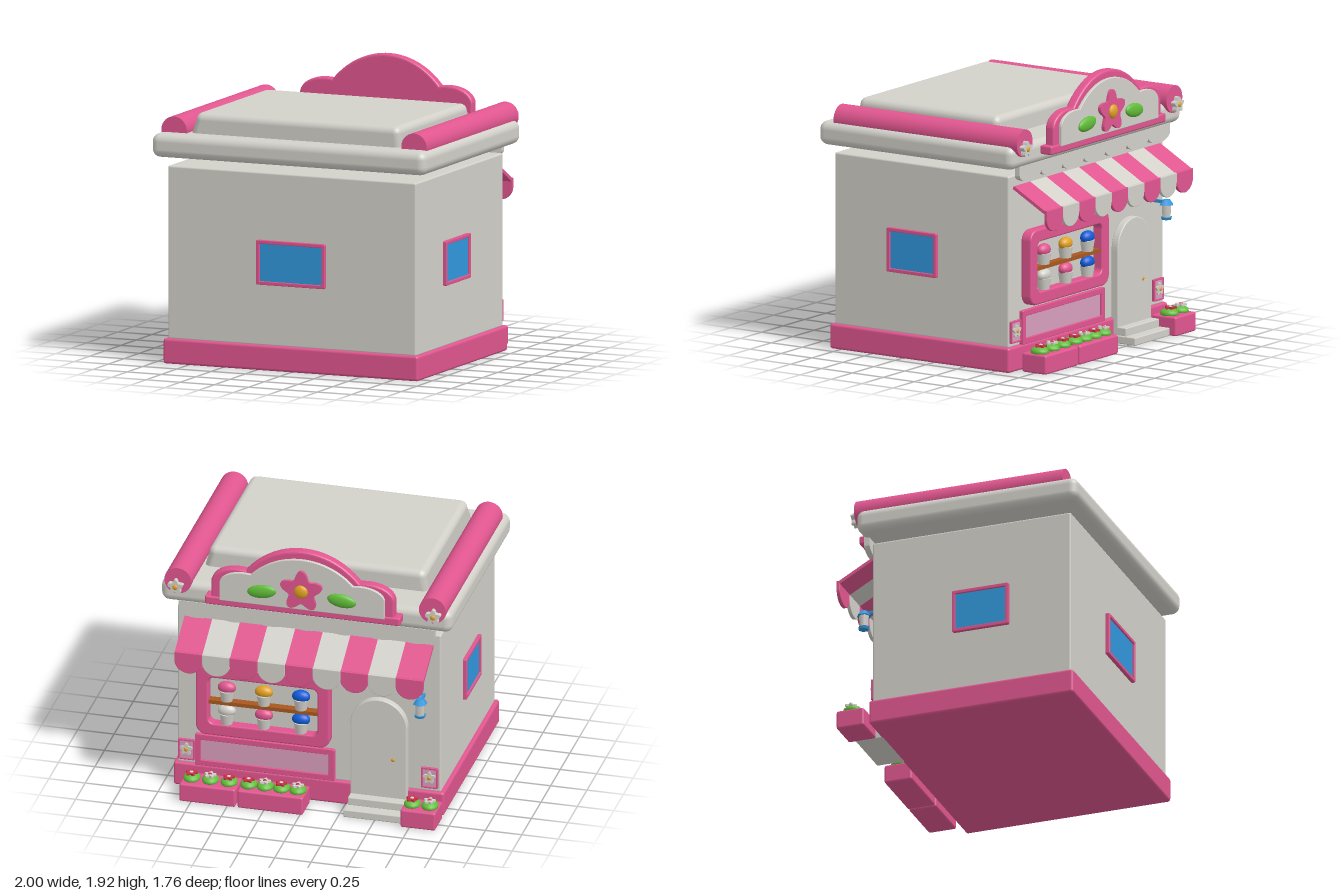
import * as THREE from 'three';
import { RoundedBoxGeometry } from 'three/addons/geometries/RoundedBoxGeometry.js';

const mat = (name, color) => new THREE.MeshStandardMaterial({ name, color });
const M = {
  grey: mat('warm grey', 0xd2d0c9), pink: mat('pink', 0xe0568f), mauve: mat('mauve', 0xd79dbc),
  sky: mat('sky blue', 0x3197dc), blue: mat('door blue', 0x0f5cd8), green: mat('leaf green', 0x62bd3a),
  gold: mat('gold', 0xe0a122), wood: mat('wood', 0xa8581f), red: mat('red', 0xcc2f4a),
};

function add(parent, name, geo, m, x = 0, y = 0, z = 0) {
  const mesh = new THREE.Mesh(geo, m);
  mesh.name = name;
  mesh.position.set(x, y, z);
  parent.add(mesh);
  return mesh;
}
// Rounded block given by its limits
function block(parent, name, m, [x0, x1], [y0, y1], [z0, z1], r = 0.012) {
  const geo = new RoundedBoxGeometry(x1 - x0, y1 - y0, z1 - z0, 3, r);
  return add(parent, name, geo, m, (x0 + x1) / 2, (y0 + y1) / 2, (z0 + z1) / 2);
}
// Extrusion with total depth d, starting at z = 0
function slab(shape, d, bevel = 0) {
  const geo = new THREE.ExtrudeGeometry(shape, {
    depth: d - 2 * bevel, curveSegments: 16, bevelEnabled: bevel > 0,
    bevelSize: bevel, bevelThickness: bevel, bevelOffset: -bevel, bevelSegments: 3,
  });
  return geo.translate(0, 0, bevel);
}
function roundRect(w, h, r, target = new THREE.Shape()) {
  const a = w / 2, b = h / 2;
  target.moveTo(-a + r, -b);
  target.absarc(a - r, -b + r, r, -Math.PI / 2, 0);
  target.absarc(a - r, b - r, r, 0, Math.PI / 2);
  target.absarc(-a + r, b - r, r, Math.PI / 2, Math.PI);
  target.absarc(-a + r, -b + r, r, Math.PI, Math.PI * 1.5);
  return target;
}
function rectFrame(w, h, border, r, ri, d, bevel) {
  const s = roundRect(w, h, r);
  s.holes.push(roundRect(w - 2 * border, h - 2 * border, ri, new THREE.Path()));
  return slab(s, d, bevel);
}
// Arched opening: half width a, springing height s above the base
function arch(a, s, target = new THREE.Shape()) {
  target.moveTo(-a, 0);
  target.lineTo(a, 0);
  target.lineTo(a, s);
  target.absarc(0, s, a, 0, Math.PI);
  target.lineTo(-a, 0);
  return target;
}
// Panel with a rounded lower edge
function scallop(w, straight, drop) {
  const s = new THREE.Shape();
  s.moveTo(-w / 2, 0);
  s.lineTo(-w / 2, -straight);
  s.absellipse(0, -straight, w / 2, drop, Math.PI, 2 * Math.PI);
  s.lineTo(w / 2, 0);
  return s;
}
// Five-petal flower facing +z
function flower(parent, name, r, petals, centre, x, y, z, d = 0.02) {
  const g = new THREE.Group();
  g.name = name;
  g.position.set(x, y, z);
  const pts = [];
  for (let i = 0; i < 60; i++) {
    const t = (i / 60) * Math.PI * 2;
    const k = r * (0.8 + 0.2 * Math.cos(5 * (t - Math.PI / 2)));
    pts.push(new THREE.Vector2(k * Math.cos(t), k * Math.sin(t)));
  }
  add(g, 'petals', slab(new THREE.Shape(pts), d), petals);
  const c = add(g, 'flowerCentre', new THREE.SphereGeometry(r * 0.32, 14, 8), centre, 0, 0, d);
  c.scale.z = 0.5;
  parent.add(g);
  return g;
}
// Stepped arch outline of the sign
function signShape(kx, ky) {
  const s = new THREE.Shape(), X = (v) => v * kx, Y = (v) => v * ky;
  s.moveTo(X(-0.63), 0);
  s.lineTo(X(0.63), 0);
  s.lineTo(X(0.63), Y(0.17));
  s.bezierCurveTo(X(0.62), Y(0.24), X(0.52), Y(0.29), X(0.39), Y(0.27));
  s.bezierCurveTo(X(0.28), Y(0.4), X(0.14), Y(0.46), 0, Y(0.46));
  s.bezierCurveTo(X(-0.14), Y(0.46), X(-0.28), Y(0.4), X(-0.39), Y(0.27));
  s.bezierCurveTo(X(-0.52), Y(0.29), X(-0.62), Y(0.24), X(-0.63), Y(0.17));
  s.lineTo(X(-0.63), 0);
  return s;
}
function plainWindow(parent, w, h, x, y, z, turn) {
  const g = new THREE.Group();
  g.name = 'plainWindow';
  g.position.set(x, y, z);
  g.rotation.y = turn;
  add(g, 'windowFrame', rectFrame(w, h, 0.024, 0.01, 0.004, 0.028, 0.004), M.pink);
  add(g, 'windowGlass', new THREE.BoxGeometry(w - 0.04, h - 0.04, 0.008), M.sky, 0, 0, 0.012);
  parent.add(g);
}

export function createModel() {
  const model = new THREE.Group();
  model.name = 'flowerShop';

  // Building shell
  block(model, 'base', M.pink, [-0.93, 0.93], [0, 0.17], [-0.62, 0.83], 0.018);
  block(model, 'walls', M.grey, [-0.905, 0.905], [0.165, 1.33], [-0.6, 0.805], 0.012);
  block(model, 'roofSlab', M.grey, [-1, 1], [1.39, 1.55], [-0.69, 0.88], 0.055);
  const cap = block(model, 'roofCap', M.grey, [-0.77, 0.77], [1.5, 1.685], [-0.42, 0.745], 0.05);
  const p = cap.geometry.attributes.position;
  for (let i = 0; i < p.count; i++) {
    const k = p.getY(i) > 0 ? 0.97 : 1;
    p.setX(i, p.getX(i) * k);
    p.setZ(i, p.getZ(i) * k);
  }
  for (const s of [-1, 1]) {
    const roll = add(model, 'roofRoll', new THREE.CylinderGeometry(0.093, 0.093, 1.48, 28), M.pink, s * 0.875, 1.565, 0.03);
    roll.rotation.x = Math.PI / 2;
    plainWindow(model, 0.4, 0.3, s * 0.902, 0.727, 0.17, s * Math.PI / 2);
  }
  plainWindow(model, 0.5, 0.3, 0, 0.727, 0.805, 0);

  // Shop side, built facing +z and turned round
  const shop = new THREE.Group();
  shop.name = 'shopSide';
  shop.rotation.y = Math.PI;
  model.add(shop);

  // Scalloped trim under the roof
  for (let i = -3; i <= 3; i++)
    add(shop, 'roofTrim', slab(scallop(0.251, 0.06, 0.055), 0.04), M.grey, i * 0.251, 1.4, 0.632);

  // Striped awning
  for (let i = -4; i <= 4; i++) {
    const m = i % 2 ? M.grey : M.pink;
    const top = add(shop, 'awningStripe', new THREE.BoxGeometry(0.19, 0.022, 0.29), m, i * 0.19, 1.178, 0.73);
    top.rotation.x = 0.51;
    add(shop, 'awningScallop', slab(scallop(0.19, 0.06, 0.09), 0.024, 0.004), m, i * 0.19, 1.12, 0.852);
  }

  // Sign with flower and leaves
  add(shop, 'signBoard', slab(signShape(1, 1), 0.07, 0.015), M.pink, 0, 1.46, 0.705);
  add(shop, 'signPanel', slab(signShape(0.9, 0.8), 0.025, 0.005), M.grey, 0, 1.5, 0.77);
  block(shop, 'signLedge', M.pink, [-0.67, 0.67], [1.455, 1.515], [0.69, 0.785], 0.012);
  flower(shop, 'signFlower', 0.15, M.pink, M.gold, 0, 1.645, 0.793, 0.025);
  for (const s of [-1, 1]) {
    const leaf = add(shop, 'signLeaf', new THREE.SphereGeometry(1, 20, 12), M.green, s * 0.275, 1.605, 0.8);
    leaf.scale.set(0.1, 0.048, 0.025);
    leaf.rotation.z = s * -0.12;
    flower(shop, 'rollFlower', 0.055, M.grey, M.gold, s * 0.885, 1.53, 0.71, 0.035);
  }

  // Display window with shelf and treats
  const display = new THREE.Group();
  display.name = 'displayWindow';
  display.position.set(-0.3, 0.685, 0.6);
  shop.add(display);
  add(display, 'displayFrame', rectFrame(0.92, 0.51, 0.085, 0.07, 0.04, 0.08, 0.012), M.pink);
  add(display, 'displayBack', new THREE.BoxGeometry(0.8, 0.38, 0.008), M.grey, 0, 0, 0.004);
  add(display, 'shelf', new THREE.BoxGeometry(0.76, 0.026, 0.06), M.wood, 0, -0.015, 0.036);
  const tops = [[M.pink, M.gold, M.blue], [M.grey, M.pink, M.blue]];
  tops.forEach((row, r) => row.forEach((m, i) => {
    const x = (i - 1) * 0.255, y = r ? -0.17 : 0.0;
    add(display, 'treatCup', new THREE.CylinderGeometry(0.05, 0.038, 0.075, 18), M.grey, x, y + 0.037, 0.042);
    const dome = add(display, 'treatTop', new THREE.SphereGeometry(0.062, 20, 12), m, x, y + 0.095, 0.042);
    dome.scale.set(1, 0.7, 0.65);
  }));

  // Panel below the display
  add(shop, 'lowerPanelFrame', rectFrame(0.96, 0.23, 0.04, 0.01, 0.005, 0.03, 0.004), M.pink, -0.3, 0.285, 0.6);
  add(shop, 'lowerPanel', new THREE.BoxGeometry(0.9, 0.17, 0.008), M.mauve, -0.3, 0.285, 0.612);

  // Small flower tiles on the wall
  for (const x of [-0.84, 0.83]) {
    add(shop, 'tileFrame', rectFrame(0.115, 0.15, 0.012, 0.008, 0.004, 0.02, 0.003), M.pink, x, 0.27, 0.6);
    add(shop, 'tile', new THREE.BoxGeometry(0.1, 0.135, 0.008), M.mauve, x, 0.27, 0.611);
    flower(shop, 'tileFlower', 0.045, M.grey, M.gold, x, 0.275, 0.615, 0.014);
  }

  // Arched door, surround and steps
  const door = new THREE.Group();
  door.name = 'door';
  door.position.set(0.49, 0.1, 0.6);
  shop.add(door);
  const surround = arch(0.195, 0.53);
  surround.holes.push(arch(0.145, 0.53, new THREE.Path()));
  add(door, 'doorSurround', slab(surround, 0.055, 0.008), M.grey);
  add(door, 'doorLeaf', slab(arch(0.148, 0.53), 0.025), M.blue);
  for (const s of [-1, 1]) {
    add(door, 'doorPane', new THREE.BoxGeometry(0.09, 0.1, 0.008), M.grey, s * 0.058, 0.405, 0.026);
    const pane = new THREE.Shape();
    pane.moveTo(0, 0);
    pane.lineTo(s * 0.09, 0);
    pane.lineTo(s * 0.09, 0.055);
    pane.quadraticCurveTo(s * 0.07, 0.115, 0, 0.13);
    add(door, 'doorPane', slab(pane, 0.008), M.grey, s * 0.013, 0.48, 0.022);
  }
  add(door, 'doorKnob', new THREE.SphereGeometry(0.02, 14, 10), M.gold, 0.1, 0.29, 0.04);
  block(shop, 'lowerStep', M.grey, [0.285, 0.695], [0, 0.055], [0.6, 0.8], 0.008);
  block(shop, 'upperStep', M.grey, [0.295, 0.685], [0.05, 0.11], [0.6, 0.72], 0.008);

  // Wall lantern
  const lantern = new THREE.Group();
  lantern.name = 'lantern';
  lantern.position.set(0.79, 0, 0.705);
  shop.add(lantern);
  add(lantern, 'lanternArm', new THREE.BoxGeometry(0.02, 0.02, 0.11), M.sky, 0, 0.88, -0.055);
  add(lantern, 'lanternCap', new THREE.CylinderGeometry(0.025, 0.05, 0.035, 6), M.sky, 0, 0.88, 0);
  add(lantern, 'lanternGlass', new THREE.CylinderGeometry(0.035, 0.03, 0.085, 6), M.grey, 0, 0.822, 0);
  add(lantern, 'lanternFoot', new THREE.CylinderGeometry(0.04, 0.035, 0.018, 6), M.sky, 0, 0.772, 0);

  // Planters: limits in x and number of plants
  for (const [x0, x1, n] of [[-0.83, -0.445, 3], [-0.43, 0.02, 4], [0.69, 0.93, 2]]) {
    block(shop, 'planter', M.pink, [x0, x1], [0, 0.13], [0.655, 0.85], 0.014);
    for (let i = 0; i < n; i++) {
      const x = x0 + ((i + 0.5) / n) * (x1 - x0);
      const bush = add(shop, 'bush', new THREE.SphereGeometry(0.057, 16, 10), M.green, x, 0.14, 0.755);
      bush.scale.set(1, 0.6, 1.15);
      const bloom = flower(shop, 'bloom', 0.042, i % 2 ? M.grey : M.red, i % 2 ? M.red : M.grey, x, 0.172, 0.765, 0.014);
      bloom.rotation.x = -Math.PI / 2;
    }
  }
  return model;
}
